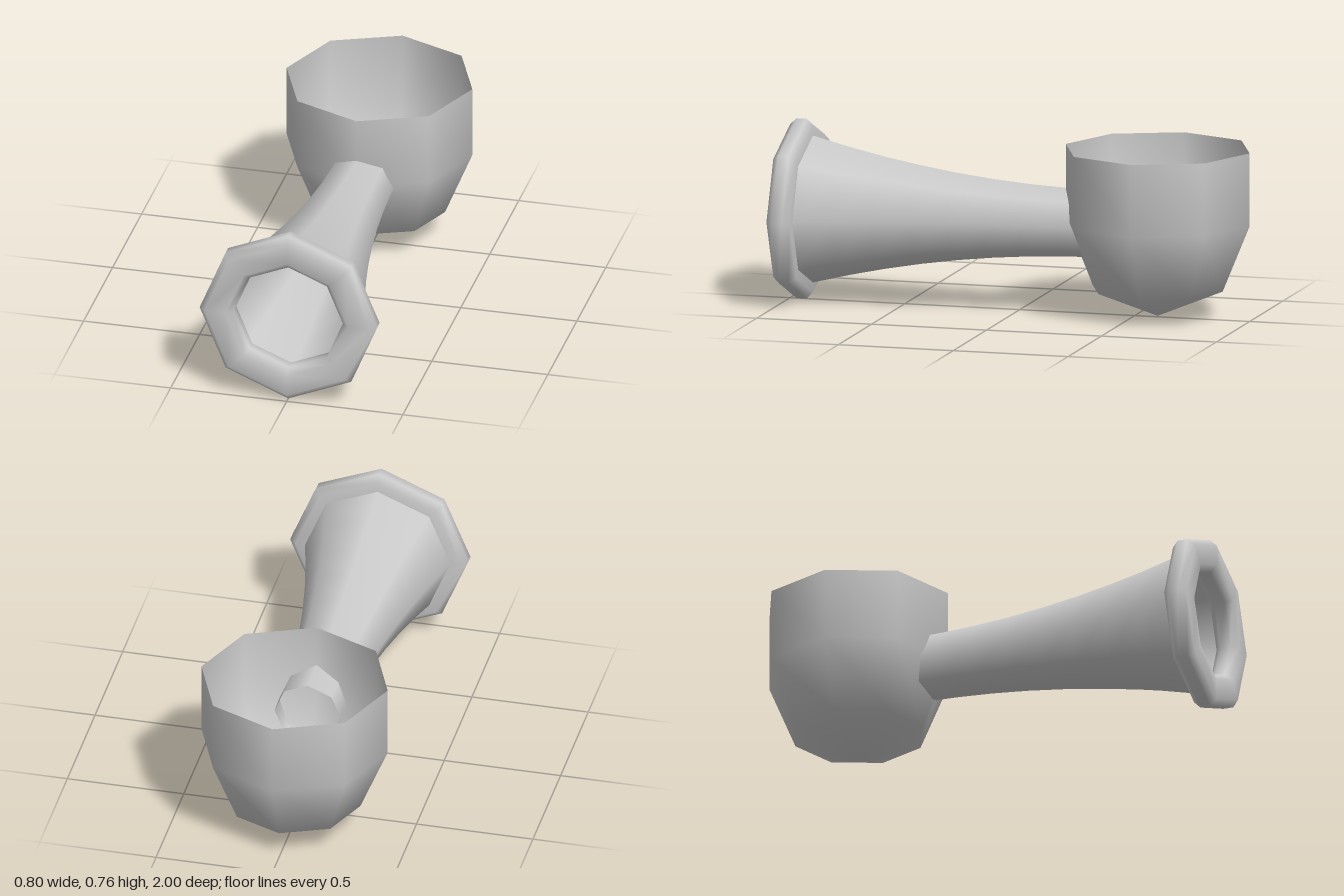
import * as THREE from 'three';

const SIDES = 8;
const AXIS_Y = 0.383; // height of the stem's centre line

// Eight-sided turned part with smooth normals; profile points are [radius, height].
function turned(name, profile, material) {
  const points = profile.map(([r, h]) => new THREE.Vector2(r, h));
  const mesh = new THREE.Mesh(new THREE.LatheGeometry(points, SIDES), material);
  mesh.name = name;
  return mesh;
}

export function createModel() {
  const group = new THREE.Group();
  const material = new THREE.MeshStandardMaterial({ color: 0xcccccc, side: THREE.DoubleSide });

  // Open cup: half sphere below, straight wall above
  const R = 0.4, base = 0.005;
  const cupProfile = [0, 1, 2].map((i) => {
    const a = (i * Math.PI) / 4;
    return [R * Math.sin(a), base + R * (1 - Math.cos(a))];
  });
  cupProfile.push([R, 0.715]);
  const cup = turned('bowl', cupProfile, material);
  cup.position.z = -0.6;

  // Flared hollow stem, its narrow end reaching into the bowl
  const stemProfile = [];
  for (let i = 0; i <= 8; i++) {
    const t = i / 8;
    stemProfile.push([0.143 + 0.169 * t * t, -0.36 + 1.26 * t]);
  }
  const stem = turned('flaredStem', stemProfile, material);

  // Bevelled rim around the wide mouth
  const inner = 0.235, outer = 0.382, bevel = 0.028, back = 0.9, front = 1;
  const rim = turned('mouthRim', [
    [inner + bevel, back], [outer - bevel, back],
    [outer, back + bevel], [outer, front - bevel],
    [outer - bevel, front], [inner + bevel, front],
    [inner, front - bevel], [inner, back + bevel],
    [inner + bevel, back],
  ], material);

  // Lay the stem and rim along z
  for (const part of [stem, rim]) {
    part.rotation.x = Math.PI / 2;
    part.position.y = AXIS_Y;
  }

  group.add(cup, stem, rim);
  return group;
}
